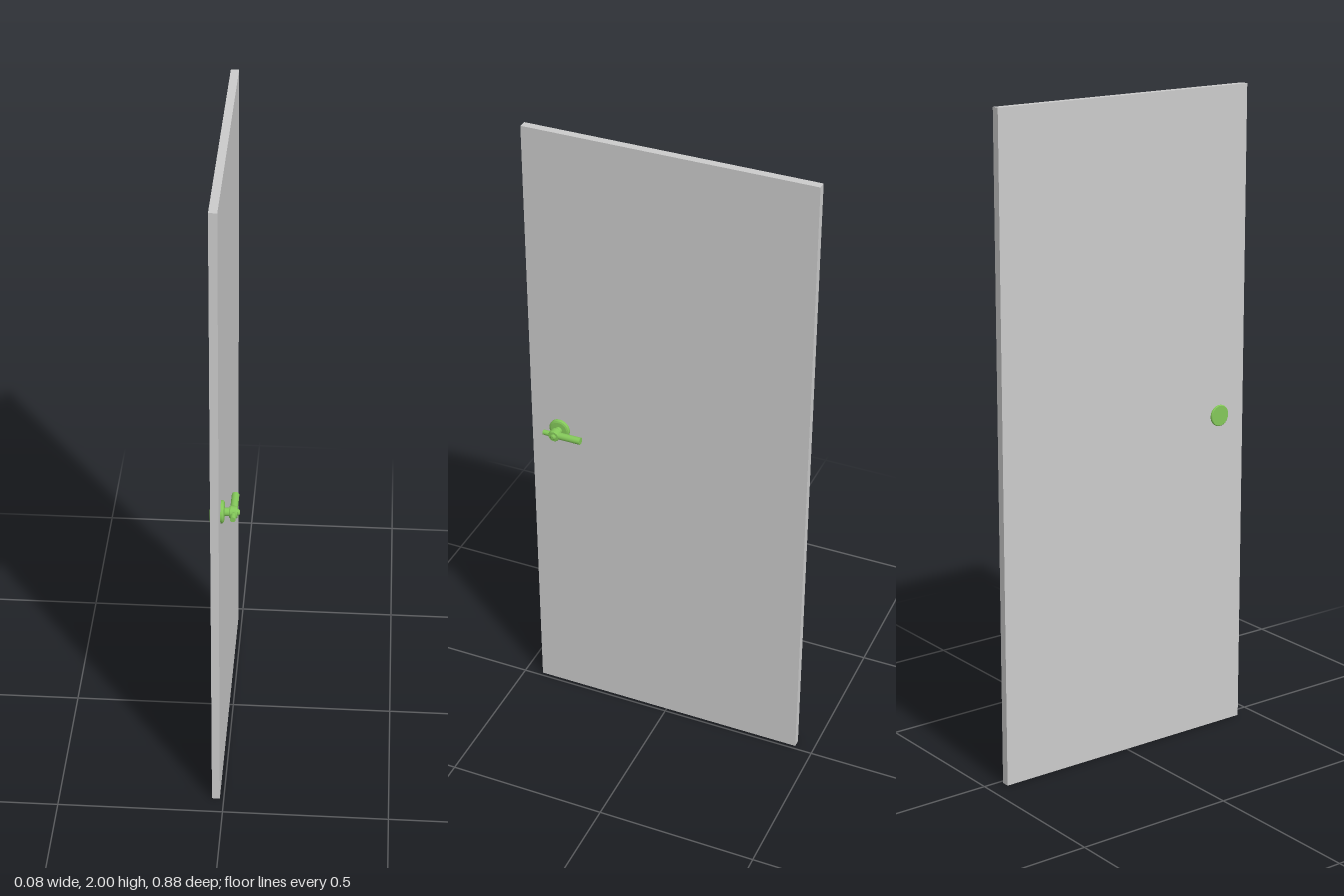
import * as THREE from 'three';

const green = new THREE.MeshStandardMaterial({ color: 0x84c85a });
const grey = new THREE.MeshStandardMaterial({ color: 0xcccccc });
const handleY = 1.003, handleZ = 0.35;

// Turned part along x; profile is a list of [radius, x]. Each segment keeps its own crisp edge.
function turnedX(name, profile) {
  const part = new THREE.Group();
  part.name = name;
  for (let i = 0; i < profile.length - 1; i++) {
    const pts = [profile[i], profile[i + 1]].map(([r, x]) => new THREE.Vector2(r, x));
    const mesh = new THREE.Mesh(new THREE.LatheGeometry(pts, 32), green);
    mesh.name = name + 'Section';
    mesh.rotation.z = -Math.PI / 2;
    part.add(mesh);
  }
  part.position.set(0, handleY, handleZ);
  return part;
}

// Round bar along z between z0 and z1
function barZ(name, radius, z0, z1) {
  const geo = new THREE.CylinderGeometry(radius, radius, z1 - z0, 24).rotateX(Math.PI / 2);
  const mesh = new THREE.Mesh(geo, green);
  mesh.name = name;
  mesh.position.set(0.024, handleY, (z0 + z1) / 2);
  return mesh;
}

export function createModel() {
  const model = new THREE.Group();
  model.name = 'door';

  // Door leaf
  const panel = new THREE.Mesh(new THREE.BoxGeometry(0.024, 2, 0.884), grey);
  panel.name = 'doorPanel';
  panel.position.set(-0.024, 1, 0);
  model.add(panel);

  const handle = new THREE.Group();
  handle.name = 'handle';
  // Flat plate on the far face
  handle.add(turnedX('backPlate', [[0, -0.042], [0.031, -0.042], [0.033, -0.04], [0.033, -0.035]]));
  // Domed rose on the handle face
  handle.add(turnedX('rose', [[0.033, -0.013], [0.033, -0.007], [0.031, -0.004], [0.026, -0.002], [0, -0.001]]));
  // Neck and hub
  handle.add(turnedX('neck', [[0.012, -0.002], [0.012, 0.014]]));
  handle.add(turnedX('hub', [[0, 0.012], [0.016, 0.012], [0.018, 0.015], [0.018, 0.032], [0.016, 0.035], [0, 0.036]]));
  // Screw cap
  handle.add(turnedX('cap', [[0.009, 0.034], [0.009, 0.039], [0.005, 0.042], [0, 0.042]]));
  // Lever and its short tail
  handle.add(barZ('lever', 0.011, 0.265, 0.365));
  handle.add(barZ('leverTail', 0.008, 0.36, 0.388));
  model.add(handle);
  return model;
}
